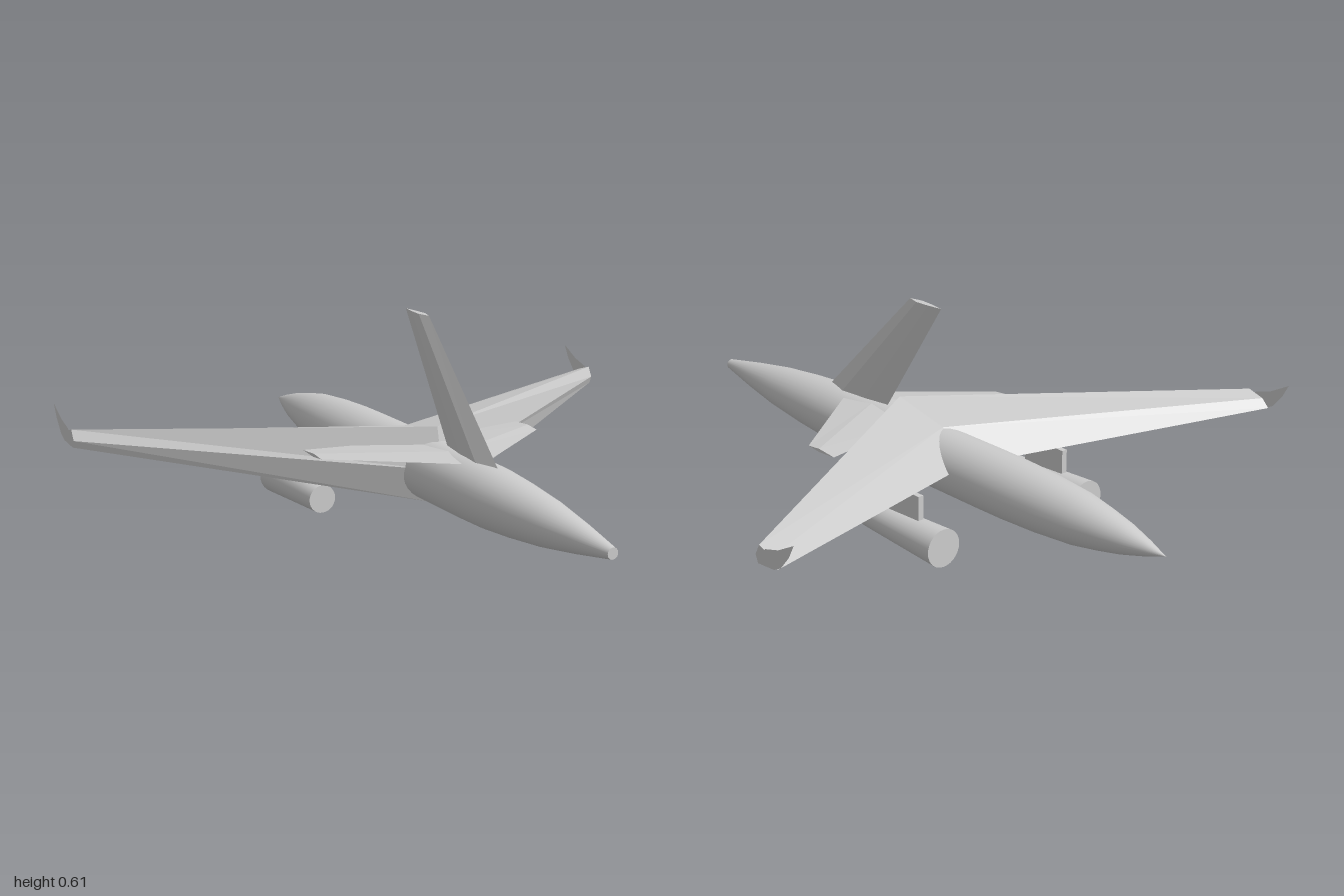
import * as THREE from 'three';

const grey = new THREE.MeshStandardMaterial({ color: 0xcccccc });
const flat = new THREE.MeshStandardMaterial({ color: 0xcccccc, flatShading: true });
const thin = new THREE.MeshStandardMaterial({ color: 0xcccccc, side: THREE.DoubleSide });

// Closed faceted skin through matching rings of points, capped at both ends
function loft(rings) {
  const pos = [];
  const tri = (a, b, c) => pos.push(...a, ...b, ...c);
  for (let r = 0; r < rings.length - 1; r++) {
    const a = rings[r], b = rings[r + 1];
    a.forEach((p, i) => {
      const j = (i + 1) % a.length;
      tri(p, a[j], b[j]);
      tri(p, b[j], b[i]);
    });
  }
  const first = rings[0], last = rings[rings.length - 1];
  for (let i = 1; i < first.length - 1; i++) {
    tri(first[0], first[i + 1], first[i]);
    tri(last[0], last[i], last[i + 1]);
  }
  const geometry = new THREE.BufferGeometry();
  geometry.setAttribute('position', new THREE.Float32BufferAttribute(pos, 3));
  geometry.computeVertexNormals();
  return geometry;
}

// Tip-to-tip surface from [z, y] sections at the root and the tip
function span(root, tip, halfSpan) {
  const at = (section, x) => section.map(([z, y]) => [x, y, z]);
  return loft([at(tip, -halfSpan), at(root, 0), at(tip, halfSpan)]);
}

export function createModel() {
  const model = new THREE.Group();
  const add = (name, geometry, material, x = 0, y = 0, z = 0) => {
    const mesh = new THREE.Mesh(geometry, material);
    mesh.name = name;
    mesh.position.set(x, y, z);
    model.add(mesh);
    return mesh;
  };

  // Fuselage: smooth spindle along z, [radius, z]
  const profile = [
    [0, -1], [0.023, -0.93], [0.045, -0.85], [0.061, -0.77], [0.076, -0.68], [0.086, -0.55],
    [0.091, -0.42], [0.092, -0.3], [0.092, 0.3], [0.09, 0.42], [0.081, 0.55], [0.066, 0.7],
    [0.043, 0.85], [0.016, 1],
  ].map(([r, z]) => new THREE.Vector2(r, z));
  add('fuselage', new THREE.LatheGeometry(profile, 32).rotateX(Math.PI / 2), grey, 0, 0.155, 0);
  add('noseCap', new THREE.CircleGeometry(0.016, 32), grey, 0, 0.155, 1);

  // Swept wings: top ridge, leading edge, keel, trailing edge, upper rear
  add('wings', span(
    [[0.1, 0.29], [0.13, 0.165], [0.1, 0.06], [-0.2, 0.16], [-0.1, 0.25]],
    [[-0.472, 0.266], [-0.455, 0.235], [-0.465, 0.213], [-0.55, 0.225], [-0.525, 0.25]],
    0.91), flat);

  // Horizontal stabilizers
  add('stabilizers', span(
    [[0.22, 0.244], [0.355, 0.235], [0.22, 0.226], [0.02, 0.235]],
    [[0.02, 0.236], [0.07, 0.231], [0.02, 0.226], [-0.05, 0.231]],
    0.36), flat);

  // Tail fin: lens-shaped sections from base to top
  const finRing = (y, front, rear, half) => {
    const a = front + (rear - front) * 0.3, b = front + (rear - front) * 0.65;
    return [[0, y, front], [half, y, a], [half * 0.7, y, b], [0, y, rear],
      [-half * 0.7, y, b], [-half, y, a]];
  };
  add('tailFin', loft([finRing(0.2, 0.485, 0.19, 0.023), finRing(0.608, 0.05, -0.09, 0.011)]), flat);

  // Winglets: thin blades at the wing tips, [z, y]
  const winglet = new THREE.Shape([
    [-0.458, 0.232], [-0.5, 0.264], [-0.555, 0.28], [-0.622, 0.315], [-0.6, 0.275],
    [-0.565, 0.235], [-0.535, 0.22], [-0.48, 0.215],
  ].map(([z, y]) => new THREE.Vector2(z, y)));

  for (const [side, s] of [['left', 1], ['right', -1]]) {
    add(side + 'Winglet', new THREE.ShapeGeometry(winglet).rotateY(-Math.PI / 2), thin, s * 0.911);
    // Engine pod narrowing towards the front, hung from a pylon
    add(side + 'Engine', new THREE.CylinderGeometry(0.042, 0.056, 0.32, 28).rotateX(Math.PI / 2),
      grey, s * 0.272, 0.057, -0.268);
    add(side + 'Pylon', new THREE.BoxGeometry(0.018, 0.095, 0.16), grey, s * 0.272, 0.132, -0.25);
  }
  return model;
}
